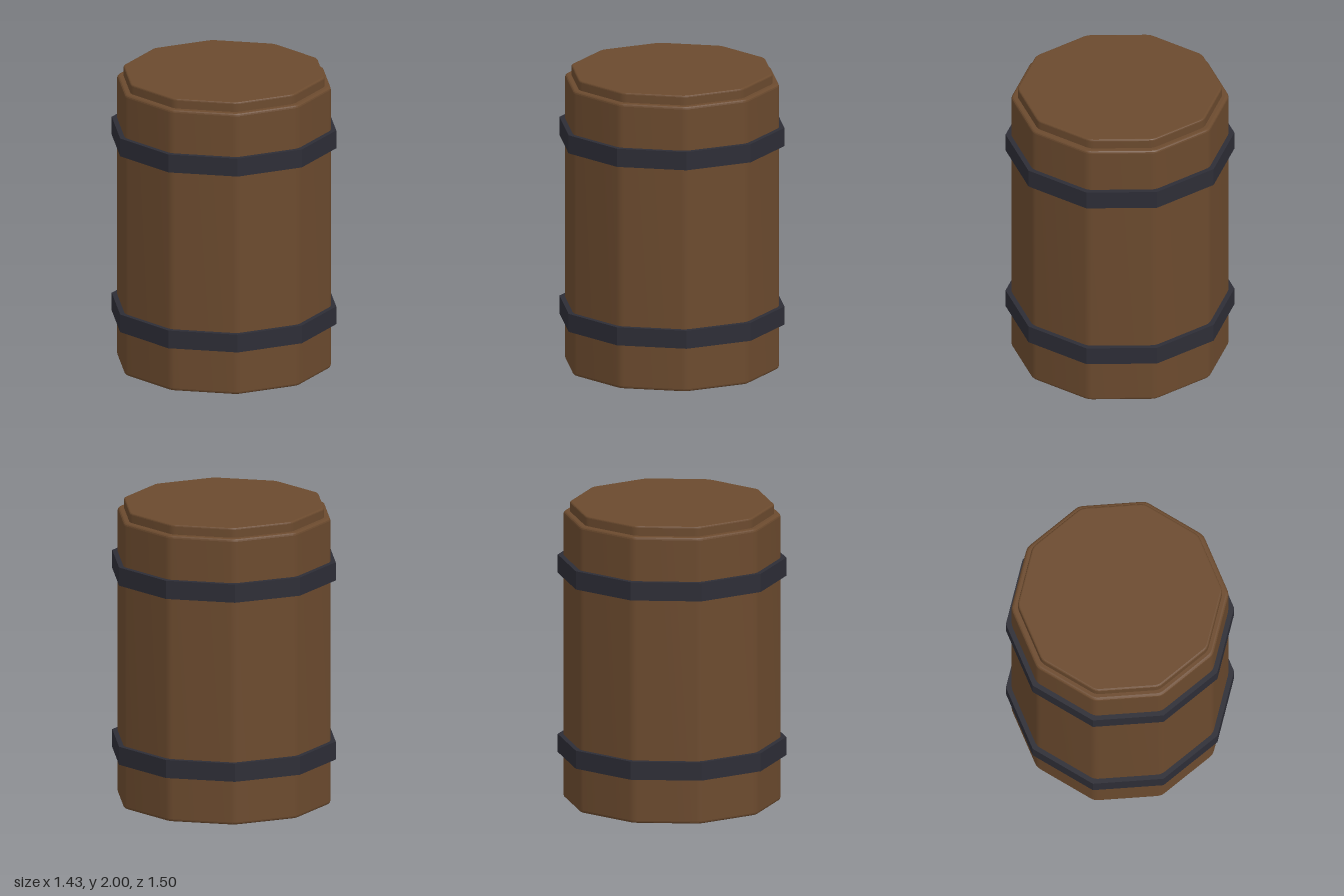
import * as THREE from 'three';
import { toCreasedNormals } from 'three/addons/utils/BufferGeometryUtils.js';

const SIDES = 10;

// Corner points of a decagon with one corner on the z axis
function corners(radius) {
  return Array.from({ length: SIDES }, (_, i) => {
    const a = Math.PI / 2 + (i / SIDES) * Math.PI * 2;
    return new THREE.Vector2(Math.cos(a) * radius, Math.sin(a) * radius);
  });
}

// Decagon outline whose corners are softened over the given length
function softDecagon(radius, soften) {
  const pts = corners(radius);
  const shape = new THREE.Shape();
  const t = soften / pts[0].distanceTo(pts[1]);
  pts.forEach((p, i) => {
    const before = p.clone().lerp(pts[(i + SIDES - 1) % SIDES], t);
    const after = p.clone().lerp(pts[(i + 1) % SIDES], t);
    if (i === 0) shape.moveTo(before.x, before.y);
    else shape.lineTo(before.x, before.y);
    shape.quadraticCurveTo(p.x, p.y, after.x, after.y);
  });
  shape.closePath();
  return shape;
}

// Upright prism with rounded rims, from y0 to y1
function roundedPrism(name, radius, y0, y1, bevel, material) {
  const geo = new THREE.ExtrudeGeometry(softDecagon(radius, 0.03), {
    depth: y1 - y0 - 2 * bevel,
    bevelSize: bevel,
    bevelThickness: bevel,
    bevelOffset: -bevel,
    bevelSegments: 3,
    curveSegments: 4,
  });
  geo.rotateX(-Math.PI / 2).translate(0, y0 + bevel, 0);
  const mesh = new THREE.Mesh(toCreasedNormals(geo, 0.22), material);
  mesh.name = name;
  return mesh;
}

// Sharp-edged hoop around the body
function hoop(name, y0, y1, material) {
  const shape = new THREE.Shape(corners(0.75));
  shape.holes.push(new THREE.Path(corners(0.69)));
  const geo = new THREE.ExtrudeGeometry(shape, { depth: y1 - y0, bevelEnabled: false });
  geo.rotateX(-Math.PI / 2).translate(0, y0, 0);
  const mesh = new THREE.Mesh(geo, material);
  mesh.name = name;
  return mesh;
}

export function createModel() {
  const wood = new THREE.MeshStandardMaterial({ name: 'brownWood', color: 0x6b4a2e });
  const iron = new THREE.MeshStandardMaterial({ name: 'darkIron', color: 0x2d2d36 });

  const barrel = new THREE.Group();
  barrel.name = 'barrel';
  barrel.add(
    roundedPrism('body', 0.716, 0, 1.935, 0.018, wood),
    roundedPrism('lid', 0.674, 1.86, 2, 0.012, wood),
    hoop('lowerHoop', 0.303, 0.425, iron),
    hoop('upperHoop', 1.515, 1.638, iron),
  );
  return barrel;
}
